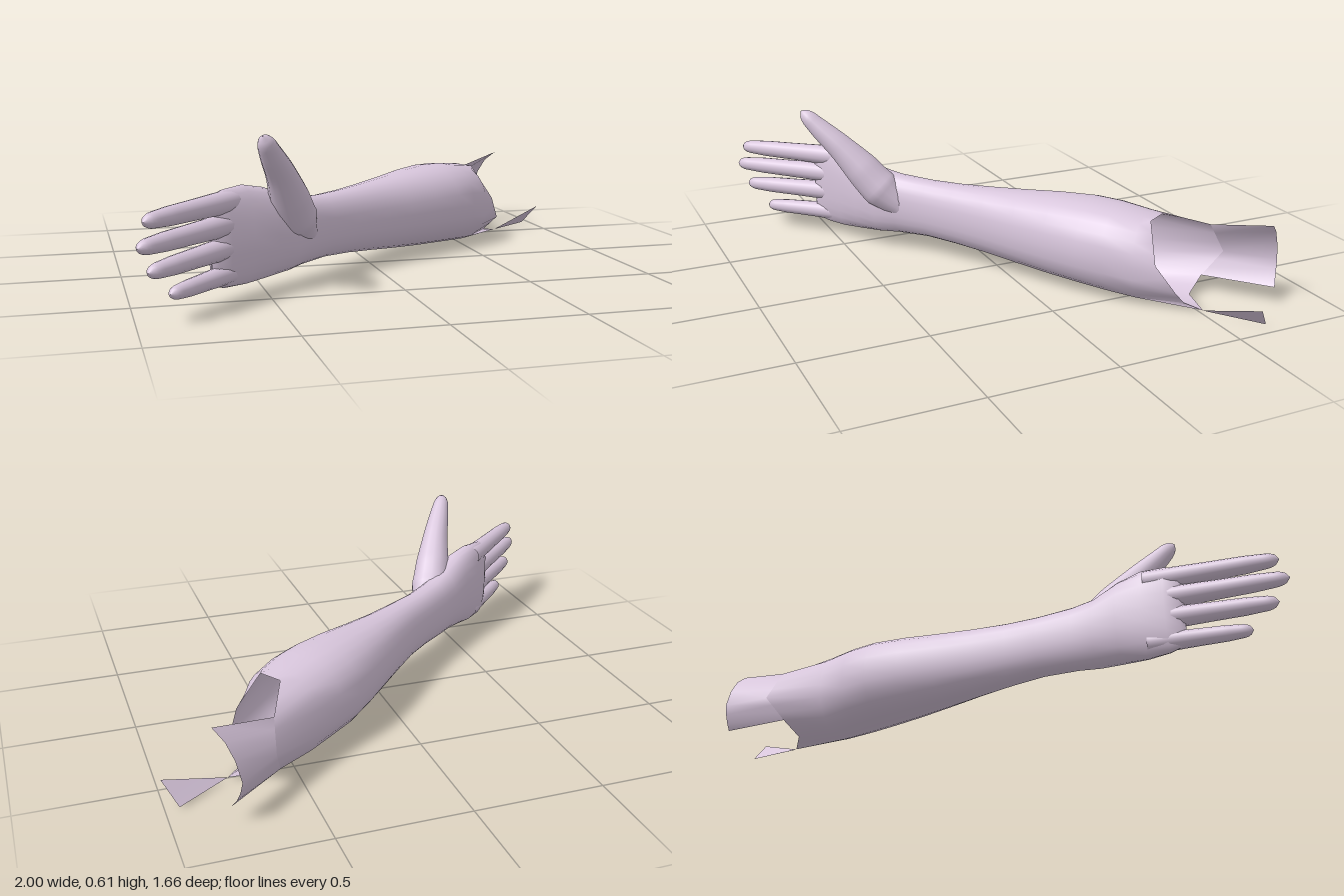
import * as THREE from 'three';
import { mergeVertices } from 'three/addons/utils/BufferGeometryUtils.js';

const SEG = 24;
const V = (x, y, z) => new THREE.Vector3(x, y, z);

// Arm frame: u runs from fingers to elbow, v points to the palm side
const arm = (u, v, y) => V(0.743 * u + 0.669 * v, y, -0.669 * u + 0.743 * v);

// Skin rows of points; each row runs around, rows follow the arm
function skin(rows, closed) {
  const n = rows[0].length, index = [];
  for (let i = 0; i < rows.length - 1; i++)
    for (let j = 0; j < (closed ? n : n - 1); j++) {
      const k = (j + 1) % n, a = i * n + j, b = i * n + k, c = a + n, d = b + n;
      index.push(a, c, b, b, c, d);
    }
  const g = new THREE.BufferGeometry().setFromPoints(rows.flat());
  g.setIndex(index);
  g.computeVertexNormals();
  return g;
}

// Point on a list of [key, point] stops
function along(stops, key) {
  let i = 0;
  while (i < stops.length - 2 && key > stops[i + 1][0]) i++;
  const [a, p] = stops[i], [b, q] = stops[i + 1];
  return p.clone().lerp(q, (key - a) / (b - a));
}

// Oval cross-section of the arm
function ring([u, v0, v1, y0, y1]) {
  const pts = [], round = (s) => Math.sign(s) * Math.abs(s) ** 0.88;
  for (let j = 0; j < SEG; j++) {
    const t = (j / SEG) * Math.PI * 2;
    pts.push(arm(u, (v0 + v1) / 2 + (v1 - v0) / 2 * round(Math.cos(t)),
      (y0 + y1) / 2 + (y1 - y0) / 2 * round(Math.sin(t))));
  }
  return pts;
}

// Tapered round limb with a rounded tip
function digit(points, radii) {
  const N = 36, R = 14, curve = new THREE.CatmullRomCurve3(points);
  const g = new THREE.TubeGeometry(curve, N, 1, R);
  const pos = g.attributes.position, nor = g.attributes.normal, p = V(), n = V();
  const tip = 0.91;
  for (let i = 0; i <= N; i++) {
    const t = i / N, s = t * (radii.length - 1), k = Math.min(Math.floor(s), radii.length - 2);
    let r = THREE.MathUtils.lerp(radii[k], radii[k + 1], s - k);
    if (t > tip) r *= Math.sqrt(Math.max(0.0004, 1 - ((t - tip) / (1 - tip)) ** 2));
    curve.getPointAt(t, p);
    for (let j = 0; j <= R; j++) {
      const id = i * (R + 1) + j;
      n.fromBufferAttribute(nor, id).multiplyScalar(r).add(p);
      pos.setXYZ(id, n.x, n.y, n.z);
    }
  }
  g.deleteAttribute('uv');
  g.deleteAttribute('normal');
  const m = mergeVertices(g, 1e-5);
  m.computeVertexNormals();
  return m;
}

export function createModel() {
  const group = new THREE.Group();
  const skinTone = new THREE.MeshStandardMaterial({ color: 0xd8c6dc, side: THREE.DoubleSide });
  skinTone.name = 'pale lilac skin';
  const add = (name, geometry) => {
    const m = new THREE.Mesh(geometry, skinTone);
    m.name = name;
    group.add(m);
  };

  // Palm, wrist and forearm: u, v range, y range
  const sections = [
    [-0.905, -0.075, -0.072, 0.10, 0.37],
    [-0.89, -0.098, -0.048, 0.07, 0.395],
    [-0.84, -0.116, -0.03, 0.055, 0.408],
    [-0.75, -0.122, 0.0, 0.052, 0.415],
    [-0.65, -0.118, 0.035, 0.062, 0.395],
    [-0.55, -0.11, 0.055, 0.07, 0.35],
    [-0.46, -0.105, 0.042, 0.075, 0.332],
    [-0.316, -0.10, 0.052, 0.08, 0.325],
    [-0.18, -0.098, 0.074, 0.073, 0.328],
    [-0.03, -0.11, 0.1, 0.058, 0.335],
    [0.12, -0.127, 0.137, 0.043, 0.345],
    [0.27, -0.145, 0.176, 0.03, 0.357],
    [0.41, -0.154, 0.205, 0.02, 0.363],
    [0.52, -0.14, 0.215, 0.012, 0.36],
    [0.64, -0.118, 0.21, 0.002, 0.345],
  ];
  // Torn open rim: angle in degrees, point
  const rim = [
    [0, V(0.67, 0.19, -0.34)], [60, V(0.58, 0.335, -0.37)],
    [105, V(0.53, 0.338, -0.46)], [135, V(0.60, 0.287, -0.63)],
    [180, V(0.61, 0.17, -0.69)], [225, V(0.58, 0.07, -0.615)],
    [255, V(0.62, 0.02, -0.535)], [285, V(0.75, 0.01, -0.51)],
    [300, V(0.68, 0.02, -0.47)], [330, V(0.72, 0.09, -0.40)],
    [360, V(0.67, 0.19, -0.34)],
  ];
  const rows = sections.map(ring);
  rows.push(Array.from({ length: SEG }, (_, j) => along(rim, j * 360 / SEG)));
  add('forearmAndPalm', skin(rows, true));

  // Ragged flap running on behind the elbow
  const flapEnd = [
    [135, V(0.84, 0.345, -0.74)], [157, V(0.79, 0.285, -0.80)],
    [180, V(0.765, 0.17, -0.83)], [203, V(0.775, 0.11, -0.82)],
    [225, V(0.80, 0.07, -0.80)],
  ];
  const flapRow = (stops) => Array.from({ length: 7 }, (_, j) => along(stops, 135 + j * 15));
  add('upperArmFlap', skin([flapRow(rim), flapRow(flapEnd)], false));

  // Loose shard under the elbow
  add('elbowShard', skin([[V(0.75, 0.01, -0.51), V(0.752, 0.01, -0.508)],
    [V(0.95, 0.01, -0.65), V(1.0, 0.095, -0.59)]], false));

  // Fingers: tip u, base y, tip y, thickness
  const fingers = [
    ['indexFinger', -1.262, 0.362, 0.358, 1],
    ['middleFinger', -1.292, 0.282, 0.276, 1],
    ['ringFinger', -1.245, 0.2, 0.188, 0.98],
    ['littleFinger', -1.143, 0.106, 0.097, 0.88],
  ];
  for (const [name, tip, y0, y1, w] of fingers) {
    const path = [0, 0.35, 0.7, 1].map((t) => arm(
      THREE.MathUtils.lerp(-0.76, tip, t), -0.073 + 0.022 * t,
      THREE.MathUtils.lerp(y0, y1, t)));
    add(name, digit(path, [0.044, 0.041, 0.037, 0.034, 0.025].map((r) => r * w)));
  }

  // Thumb and its fleshy base
  add('thumb', digit([V(-0.33, 0.2, 0.29), V(-0.385, 0.28, 0.37), V(-0.425, 0.37, 0.44),
    V(-0.465, 0.455, 0.51), V(-0.51, 0.53, 0.58), V(-0.552, 0.605, 0.645)],
  [0.05, 0.082, 0.074, 0.057, 0.044, 0.027]));

  return group;
}
